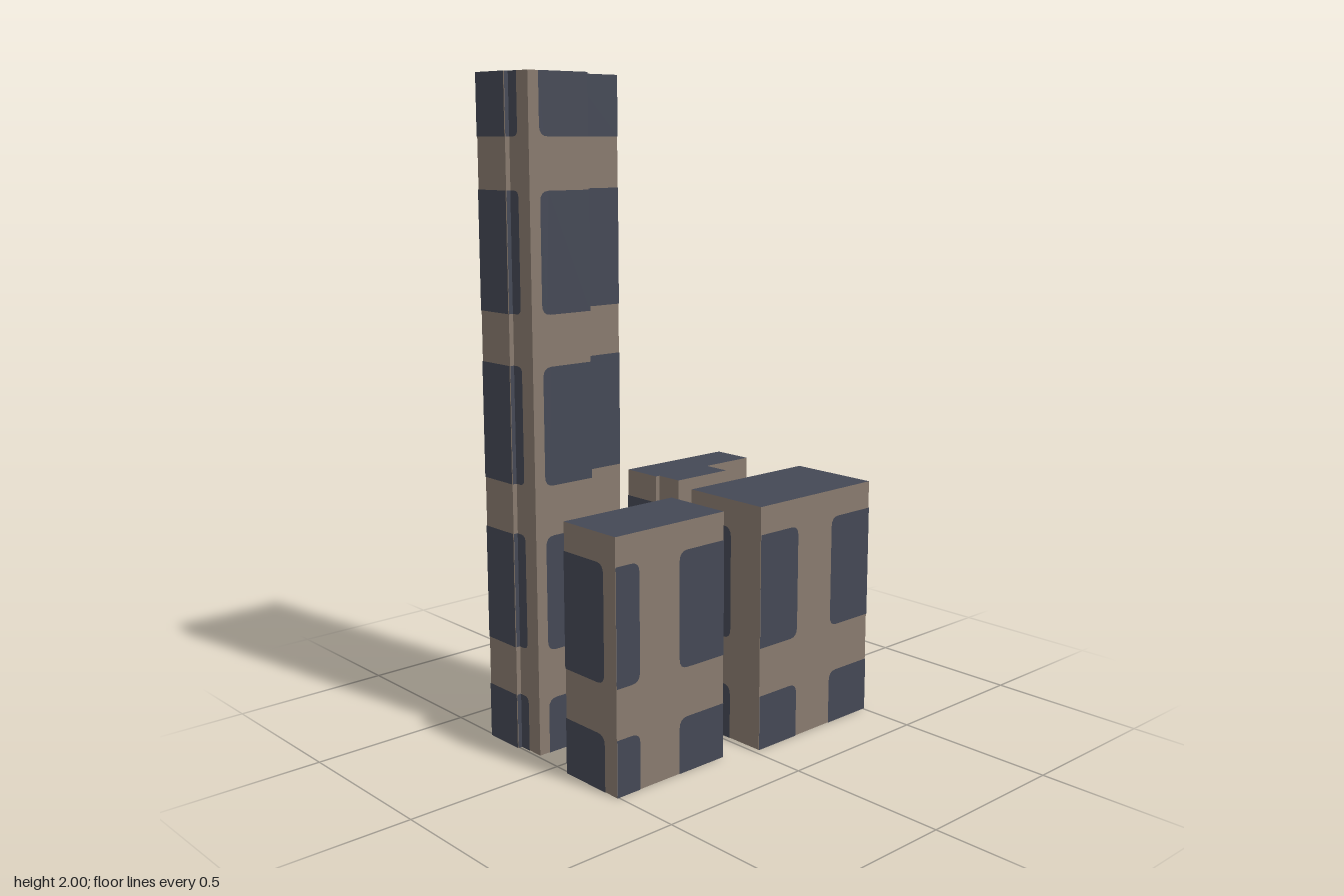
import * as THREE from 'three';

const stone = new THREE.MeshStandardMaterial({ color: 0x887a6e });
stone.name = 'taupe stone';
const glass = new THREE.MeshStandardMaterial({ color: 0x444855 });
glass.name = 'slate glass';

const PITCH = 0.5, HALF = 0.175, ROUND = 0.03, LIFT = 0.002;

// Rectangle with a cut radius per corner: bottom left, bottom right, top right, top left
function paneShape(x0, y0, x1, y1, [bl, br, tr, tl]) {
  const s = new THREE.Shape();
  s.moveTo(x0 + bl, y0);
  s.lineTo(x1 - br, y0);
  if (br) s.quadraticCurveTo(x1, y0, x1, y0 + br);
  s.lineTo(x1, y1 - tr);
  if (tr) s.quadraticCurveTo(x1, y1, x1 - tr, y1);
  s.lineTo(x0 + tl, y1);
  if (tl) s.quadraticCurveTo(x0, y1, x0, y1 - tl);
  s.lineTo(x0, y0 + bl);
  if (bl) s.quadraticCurveTo(x0, y0, x0 + bl, y0);
  return s;
}

// Window grid clipped to a wall; phase is the centre line of one window column
function windows(w, h, phase) {
  const shapes = [];
  for (let i = -3; i <= 3; i++) {
    const c = phase + i * PITCH;
    const x0 = Math.max(0, c - HALF), x1 = Math.min(w, c + HALF);
    if (x1 - x0 < 0.002) continue;
    for (let y = -0.005; y - HALF < h; y += PITCH) {
      const y0 = Math.max(0, y - HALF), y1 = Math.min(h, y + HALF);
      const left = x0 > 0, right = x1 < w, low = y0 > 0, high = y1 < h;
      const r = Math.min(ROUND, (x1 - x0) / 2);
      shapes.push(paneShape(x0, y0, x1, y1,
        [low && left, low && right, high && right, high && left].map((on) => (on ? r : 0))));
    }
  }
  return new THREE.ShapeGeometry(shapes, 4);
}

// Block with dark roof and base, and windows on its walls.
// backShift continues the side window pattern from a volume behind it.
function block(name, x0, x1, z0, z1, h, backShift = 0) {
  const g = new THREE.Group();
  g.name = name;
  const w = x1 - x0, d = z1 - z0;
  const body = new THREE.Mesh(new THREE.BoxGeometry(w, h, d),
    [stone, stone, glass, glass, stone, stone]);
  body.name = 'walls';
  body.position.set((x0 + x1) / 2, h / 2, (z0 + z1) / 2);
  g.add(body);

  const walls = [
    ['frontWindows', w, w, 0, x0, z1 + LIFT],
    ['leftWindows', d, d + backShift, Math.PI / 2, x1 + LIFT, z1],
    ['rightWindows', d, -backShift, -Math.PI / 2, x0 - LIFT, z0],
  ];
  if (!backShift) walls.push(['backWindows', w, w, Math.PI, x1, z0 - LIFT]);
  for (const [label, width, phase, turn, x, z] of walls) {
    const pane = new THREE.Mesh(windows(width, h, phase), glass);
    pane.name = label;
    pane.rotation.y = turn;
    pane.position.set(x, 0, z);
    g.add(pane);
  }
  return g;
}

export function createModel() {
  const model = new THREE.Group();
  model.name = 'towerCluster';

  // Rear towers: a wide slab with a narrower bay in front
  for (const [name, x, h] of [['tallTower', -0.505, 2], ['rearTower', 0.055, 0.755]]) {
    const tower = new THREE.Group();
    tower.name = name;
    tower.add(block('mainSlab', x, x + 0.41, -0.32, -0.185, h));
    tower.add(block('frontBay', x + 0.015, x + 0.225, -0.185, -0.095, h, 0.135));
    model.add(tower);
  }

  // Front blocks
  model.add(block('frontRightBlock', -0.505, -0.095, 0.055, 0.28, 0.755));
  model.add(block('frontLeftBlock', 0.02, 0.505, 0.02, 0.318, 0.755));
  return model;
}
